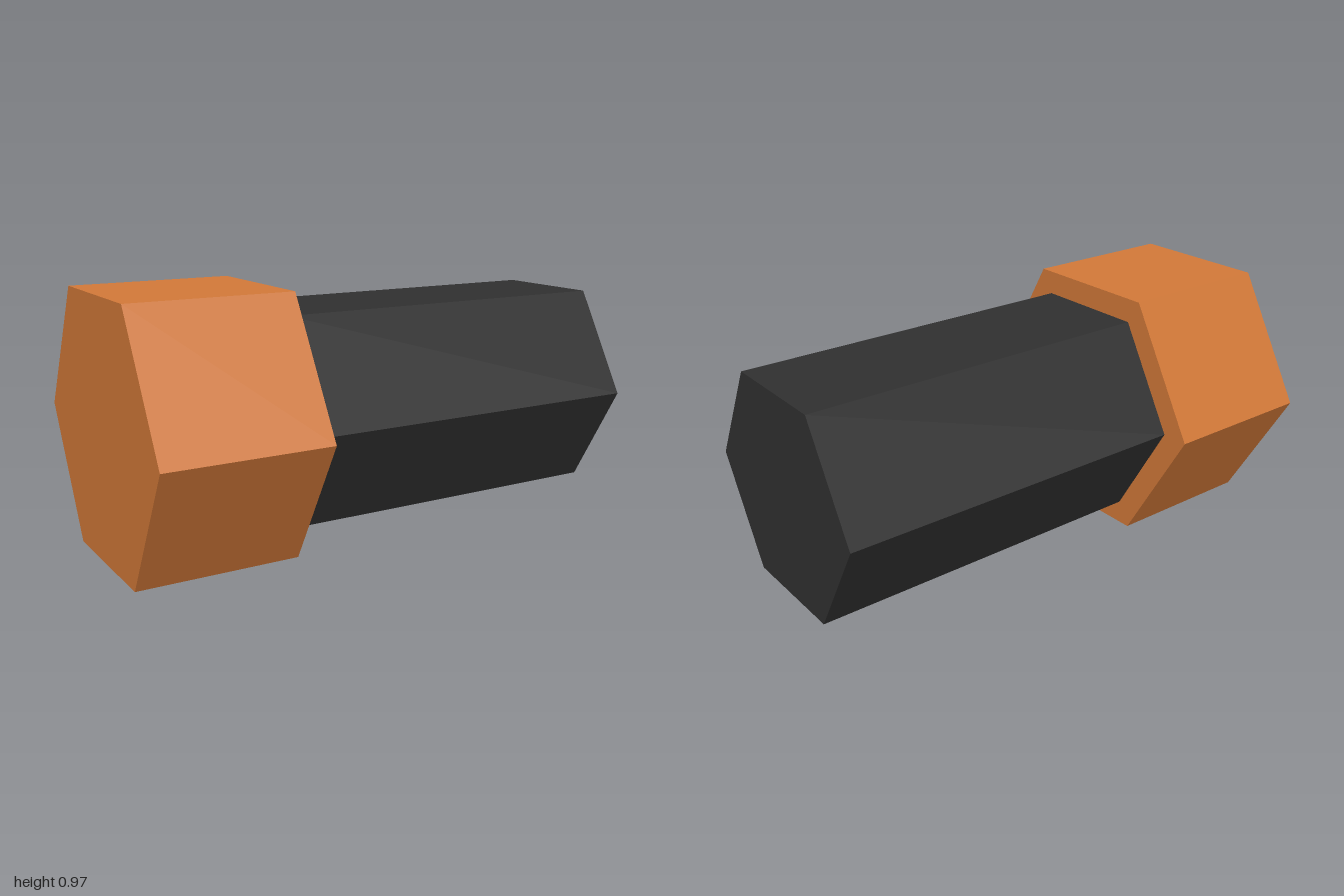
import * as THREE from 'three';

const CENTER_Y = 0.484;

// Hexagonal prism lying along x, with corners pointing to +z and -z
function hexBar(name, radius, x0, x1, material) {
  const geometry = new THREE.CylinderGeometry(radius, radius, x1 - x0, 6);
  geometry.rotateZ(-Math.PI / 2);
  const mesh = new THREE.Mesh(geometry, material);
  mesh.name = name;
  mesh.position.set((x0 + x1) / 2, CENTER_Y, 0);
  return mesh;
}

export function createModel() {
  const copper = new THREE.MeshStandardMaterial({ color: 0xd17838, flatShading: true });
  copper.name = 'copper orange';
  const charcoal = new THREE.MeshStandardMaterial({ color: 0x303030, flatShading: true });
  charcoal.name = 'charcoal';

  const model = new THREE.Group();
  model.name = 'hexBolt';
  model.add(
    hexBar('head', 0.559, -1, -0.38, copper),
    hexBar('shaft', 0.453, -0.38, 1, charcoal),
  );
  return model;
}
